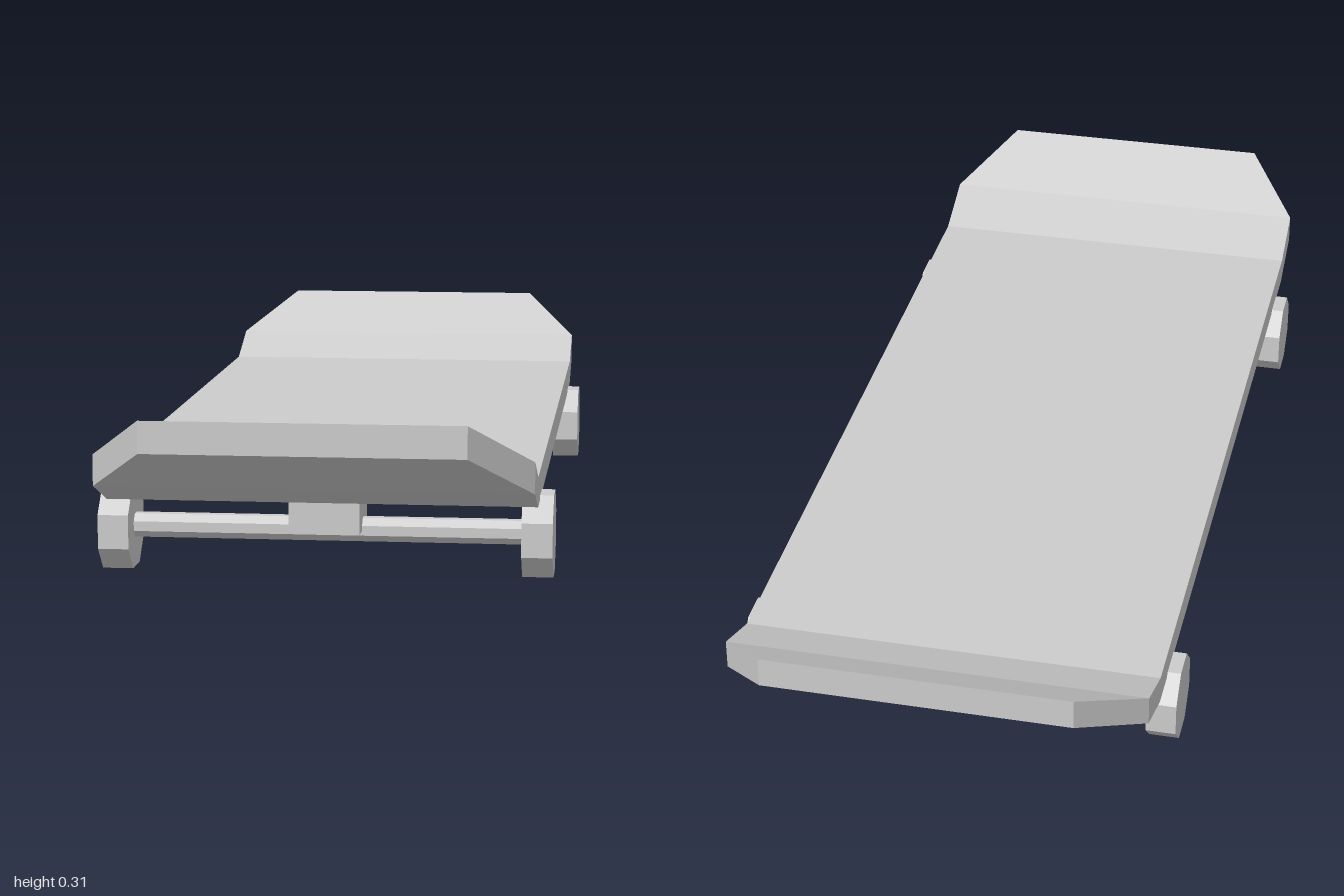
import * as THREE from 'three';

const grey = new THREE.MeshStandardMaterial({ color: 0xcccccc });
grey.name = 'grey';

function part(name, geometry, x = 0, y = 0, z = 0) {
  const mesh = new THREE.Mesh(geometry, grey);
  mesh.name = name;
  mesh.position.set(x, y, z);
  return mesh;
}

// Deck lofted through rectangular cross-sections running back to front
function deckGeometry() {
  // [z, half width, underside y, top y]
  const half = [[0.75, 0.373, 0.138, 0.19], [0.865, 0.373, 0.181, 0.235], [1, 0.27, 0.26, 0.315]];
  const sections = [...half.map(([z, ...rest]) => [-z, ...rest]).reverse(), ...half];
  const points = [];
  const faces = [];
  for (const [z, w, low, high] of sections) {
    points.push(-w, low, z, w, low, z, w, high, z, -w, high, z);
  }
  const quad = (a, b, c, d) => faces.push(a, b, c, a, c, d);
  for (let i = 0; i < sections.length - 1; i++) {
    for (let k = 0; k < 4; k++) {
      const next = (k + 1) % 4;
      quad(4 * i + k, 4 * i + next, 4 * i + 4 + next, 4 * i + 4 + k);
    }
  }
  const last = 4 * (sections.length - 1);
  quad(3, 2, 1, 0);
  quad(last, last + 1, last + 2, last + 3);

  const indexed = new THREE.BufferGeometry();
  indexed.setAttribute('position', new THREE.Float32BufferAttribute(points, 3));
  indexed.setIndex(faces);
  const geometry = indexed.toNonIndexed();
  geometry.computeVertexNormals();
  return geometry;
}

// Eight-sided bar along x, resting on a flat side, with faceted normals
function octagonBar(flatRadius, length) {
  const r = flatRadius / Math.cos(Math.PI / 8);
  const geometry = new THREE.CylinderGeometry(r, r, length, 8)
    .rotateY(Math.PI / 8).rotateZ(Math.PI / 2).toNonIndexed();
  geometry.computeVertexNormals();
  return geometry;
}

export function createModel() {
  const model = new THREE.Group();
  model.name = 'skateboard';
  model.add(part('deck', deckGeometry()));

  const wheel = octagonBar(0.0725, 0.054);
  const axle = octagonBar(0.021, 0.69);
  const mount = new THREE.BoxGeometry(0.124, 0.066, 0.12);

  // One truck at each end: mount block, axle and two wheels
  for (const end of [1, -1]) {
    const truck = new THREE.Group();
    truck.name = end > 0 ? 'frontTruck' : 'backTruck';
    truck.position.z = 0.643 * end;
    truck.add(part('mount', mount, 0, 0.107, 0));
    truck.add(part('axle', axle, 0, 0.074, 0));
    for (const side of [1, -1]) {
      truck.add(part(side > 0 ? 'leftWheel' : 'rightWheel', wheel, 0.37 * side, 0.0725, 0));
    }
    model.add(truck);
  }
  return model;
}
